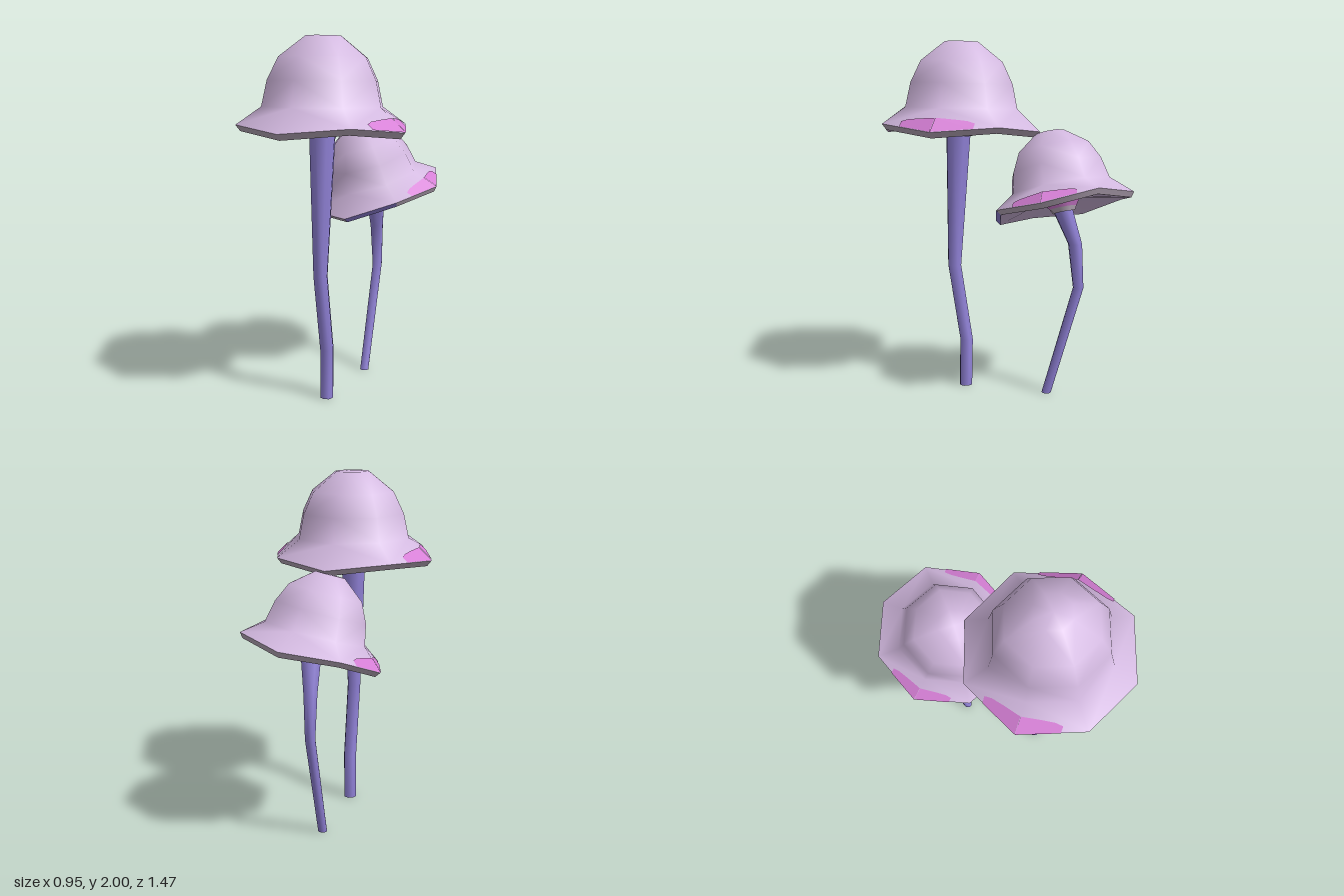
import * as THREE from 'three';
import { mergeVertices } from 'three/addons/utils/BufferGeometryUtils.js';

const SIDES = 8;
const mat = (name, color) => Object.assign(new THREE.MeshStandardMaterial({ color }), { name });
const ALL = [0, 1, 2, 3, 4, 5, 6, 7];

// Octagonal ring; wave lifts the diagonal corners, z shifts the ring.
function ring(r, y, wave = 0, x = 0, z = 0) {
  return ALL.map((k) => {
    const a = (k * Math.PI * 2) / SIDES;
    return new THREE.Vector3(x + r * Math.cos(a), y + (k % 2 ? wave : 0), z + r * Math.sin(a));
  });
}

function fromTriangles(points) {
  const geo = new THREE.BufferGeometry().setFromPoints(points);
  const merged = mergeVertices(geo, 1e-4);
  merged.computeVertexNormals();
  return merged;
}

// Skin between rings listed from the top down, for the chosen sectors.
function loft(rings, sectors = ALL) {
  const pts = [];
  for (let i = 0; i < rings.length - 1; i++) {
    for (const k of sectors) {
      const n = (k + 1) % SIDES;
      const a = rings[i][k], b = rings[i][n], c = rings[i + 1][k], d = rings[i + 1][n];
      if (k % 2) pts.push(a, b, c, b, d, c);
      else pts.push(a, b, d, a, d, c);
    }
  }
  return fromTriangles(pts);
}

// Thin painted patch around one side corner of the brim.
function brimPatch(inner, outer, corner) {
  const pts = [];
  for (const dir of [1, -1]) {
    const n = (corner + dir + SIDES) % SIDES;
    const A = inner[corner], B = inner[n], D = outer[corner], C = outer[n];
    const normal = C.clone().sub(A).cross(D.clone().sub(A)).normalize().multiplyScalar(dir);
    // Points lie on the plane of A, D, C (u along the rim, v outwards).
    const at = (u, v) => A.clone()
      .addScaledVector(D.clone().sub(A), v)
      .addScaledVector(C.clone().sub(D), u)
      .addScaledVector(normal, 0.005);
    const outline = [at(0, 0.43), at(0.3, 0.56), at(0.5, 0.66), at(0.62, 0.78), at(0.62, 1), at(0, 1)];
    for (let i = 1; i < outline.length - 1; i++) {
      if (dir > 0) pts.push(outline[0], outline[i], outline[i + 1]);
      else pts.push(outline[0], outline[i + 1], outline[i]);
    }
  }
  return fromTriangles(pts);
}

export function createModel() {
  const model = new THREE.Group();
  model.name = 'mushrooms';
  const capMat = mat('pale lilac', 0xd3b9e0);
  const stemMat = mat('violet', 0x9182d8);
  const pinkMat = mat('orchid pink', 0xd67fd6);
  const greyMat = mat('grey mauve', 0xb9aabb);

  const add = (parent, name, geo, material) => {
    const mesh = new THREE.Mesh(geo, material);
    mesh.name = name;
    parent.add(mesh);
  };

  function makeCap(name, violetLip) {
    const cap = new THREE.Group();
    cap.name = name;
    const domeEdge = ring(0.335, 0.135);
    const rim = ring(0.47, 0.012, 0.03);
    const lip = ring(0.445, -0.02, 0.03);
    // Dome and flared brim
    add(cap, 'crown', loft([
      ring(0, 0.503), ring(0.1, 0.5), ring(0.245, 0.39), ring(0.305, 0.27), domeEdge, rim,
    ]), capMat);
    // Rim edge, with an optional coloured sector
    add(cap, 'rimEdge', loft([rim, lip], ALL.filter((k) => !violetLip.includes(k))), greyMat);
    if (violetLip.length) add(cap, 'rimAccent', loft([rim, lip], violetLip), stemMat);
    // Hollow underside and the collar round the stem
    add(cap, 'underside', loft([lip, ring(0.13, 0.06)]), capMat);
    add(cap, 'collar', loft([ring(0.13, 0.06), ring(0.09, 0.005)]), pinkMat);
    add(cap, 'collarBand', loft([ring(0.09, 0.005), ring(0.074, -0.025)]), greyMat);
    // Painted patches on the left and right corners
    add(cap, 'leftPatch', brimPatch(domeEdge, rim, 0), pinkMat);
    add(cap, 'rightPatch', brimPatch(domeEdge, rim, 4), pinkMat);
    return cap;
  }

  // Stem stations from the top: [radius, y, x, z]
  function addStem(parent, name, stations) {
    const rings = stations.map(([r, y, x, z]) => ring(r, y, 0, x, z));
    const [, y, x, z] = stations[stations.length - 1];
    add(parent, name, loft(rings), stemMat);
    add(parent, name + 'Base', loft([rings[rings.length - 1], ring(0, y, 0, x, z)]), stemMat);
  }

  function place(cap, position, up, yaw, scale) {
    cap.position.set(...position);
    cap.quaternion
      .setFromUnitVectors(new THREE.Vector3(0, 1, 0), new THREE.Vector3(...up).normalize())
      .multiply(new THREE.Quaternion().setFromAxisAngle(new THREE.Vector3(0, 1, 0), yaw));
    cap.scale.setScalar(scale);
  }

  // Tall front mushroom
  const tall = new THREE.Group();
  tall.name = 'tallMushroom';
  const tallCap = makeCap('tallCap', []);
  place(tallCap, [0, 1.497, 0.265], [0, 1, -0.022], 0, 1);
  tall.add(tallCap);
  addStem(tall, 'tallStem', [
    [0.073, 1.49, 0, 0.275], [0.04, 0.72, 0, 0.305], [0.039, 0.28, 0, 0.235], [0.038, 0, 0, 0.24],
  ]);

  // Short back mushroom with a tilted cap
  const short = new THREE.Group();
  short.name = 'shortMushroom';
  const shortCap = makeCap('shortCap', [1]);
  place(shortCap, [0.03, 1.08, -0.347], [-0.19, 1, 0.245], -0.058, 0.86);
  short.add(shortCap);
  addStem(short, 'shortStem', [
    [0.06, 1.085, 0.027, -0.337], [0.04, 0.88, 0.004, -0.41],
    [0.03, 0.63, 0, -0.43], [0.027, 0, 0, -0.25],
  ]);

  model.add(tall, short);
  return model;
}
